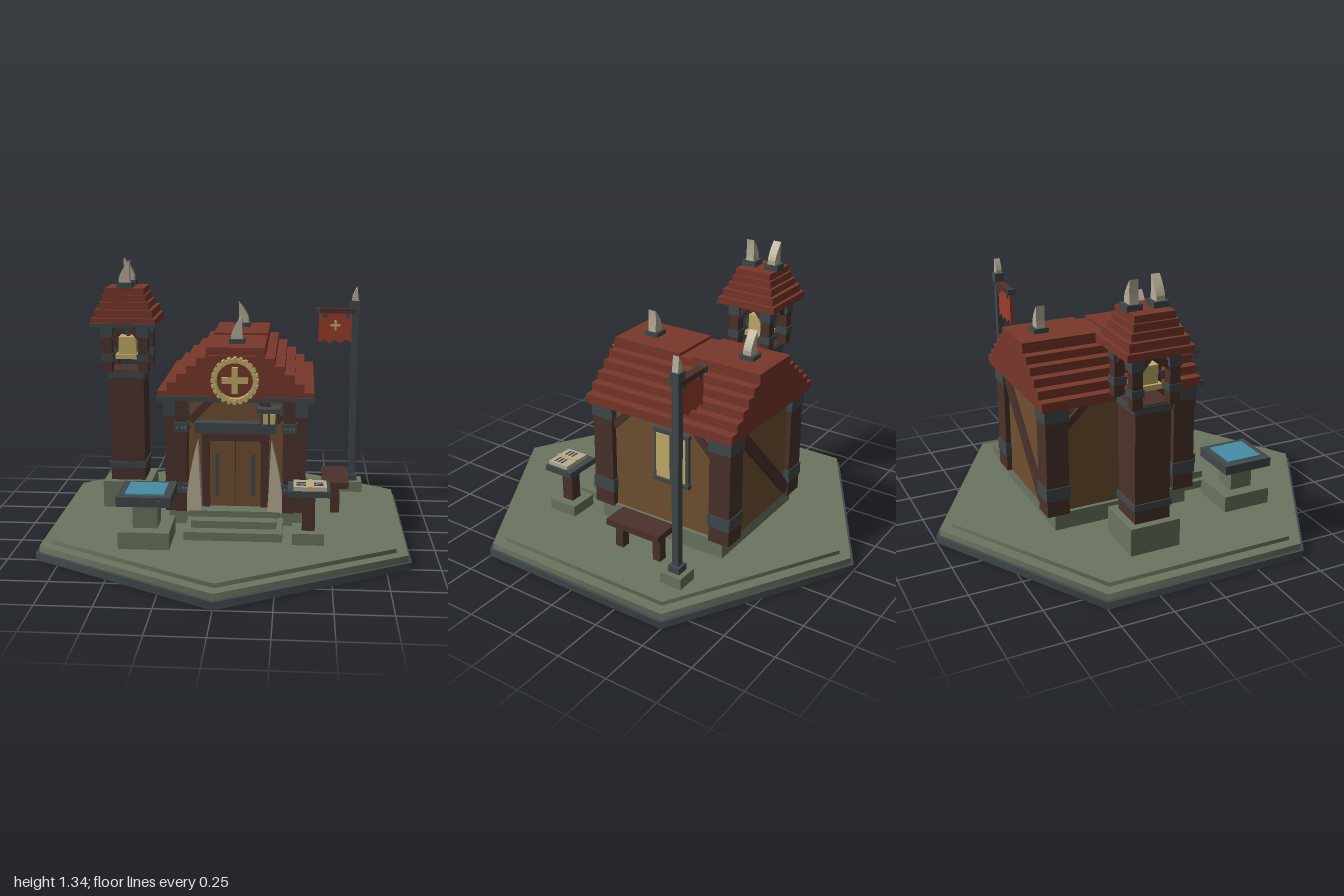
import * as THREE from 'three';

const material = (name, color) => {
  const m = new THREE.MeshStandardMaterial({ color });
  m.name = name;
  return m;
};

export function createModel() {
  const model = new THREE.Group();
  model.name = 'timberHall';
  const iron = material('dark iron', 0x40494b);
  const stone = material('mossy stone', 0x6b7560);
  const red = material('red roof', 0x78372b);
  const timber = material('dark timber', 0x4b322b);
  const wood = material('wall wood', 0x705031);
  const gold = material('gold', 0xc4ae6c);
  const bone = material('bone', 0xb8ae98);
  const water = material('water blue', 0x488da6);
  const cloth = material('banner red', 0x9a3d2a);

  const put = (name, geo, mat, parent = model) => {
    const m = new THREE.Mesh(geo, mat);
    m.name = name;
    parent.add(m);
    return m;
  };
  // Box from its extents on each axis
  const box = (name, mat, [x0, x1], [y0, y1], [z0, z1], parent = model) => {
    const m = put(name, new THREE.BoxGeometry(x1 - x0, y1 - y0, z1 - z0), mat, parent);
    m.position.set((x0 + x1) / 2, (y0 + y1) / 2, (z0 + z1) / 2);
    return m;
  };
  const around = (c, h) => [c - h, c + h];
  const group = (name, x = 0, y = 0, z = 0) => {
    const g = new THREE.Group();
    g.name = name;
    g.position.set(x, y, z);
    model.add(g);
    return g;
  };
  // Beam between two points in the XY plane (or ZY when alongZ), centred at depth
  const beam = (name, a, b, width, thick, depth, alongZ = false) => {
    const dx = b[0] - a[0], dy = b[1] - a[1];
    const m = put(name, new THREE.BoxGeometry(Math.hypot(dx, dy), width, thick), timber);
    const cx = (a[0] + b[0]) / 2, cy = (a[1] + b[1]) / 2;
    m.rotation.order = 'YXZ';
    m.rotation.set(0, alongZ ? -Math.PI / 2 : 0, Math.atan2(dy, dx));
    m.position.set(alongZ ? depth : cx, cy, alongZ ? cx : depth);
  };
  // Flat tusk curving sideways to a tip
  const tusk = (x, y, z, w, h, d, tip) => {
    const s = new THREE.Shape();
    s.moveTo(-w / 2, 0);
    s.lineTo(w / 2, 0);
    s.quadraticCurveTo(w * 0.35, h * 0.5, tip, h);
    s.quadraticCurveTo(-w * 0.3, h * 0.6, -w / 2, h * 0.25);
    s.closePath();
    const geo = new THREE.ExtrudeGeometry(s, { depth: d, bevelEnabled: false, curveSegments: 5 });
    geo.translate(0, 0, -d / 2);
    if (tip < 0) geo.rotateY(Math.PI).translate(0, 0, 0);
    put('tusk', geo, bone).position.set(x, y, z);
  };
  const roofTusk = (x, y, z, dir) => {
    box('tuskSocket', iron, around(x, 0.037), [y - 0.01, y + 0.022], around(z, 0.037));
    tusk(x, y + 0.015, z, 0.056, 0.115, 0.042, 0.025);
    if (dir < 0) model.children[model.children.length - 1].rotation.y = Math.PI;
  };
  const goldCross = (x, y, z, r, w, parent) => {
    box('crossUpright', gold, around(x, w), around(y, r), around(z, 0.008), parent);
    box('crossArm', gold, around(x, r), around(y, w), around(z, 0.0075), parent);
  };

  // Hexagonal ground
  for (const [r, y0, y1, mat] of [[1, 0, 0.035, iron], [0.982, 0.035, 0.065, stone], [0.922, 0.065, 0.085, stone]]) {
    put('groundTier', new THREE.CylinderGeometry(r, r, y1 - y0, 6).toNonIndexed(), mat).position.y = (y0 + y1) / 2;
  }

  // Hall body and steps
  const cx = 0.045;
  box('foundation', stone, [-0.28, 0.37], [0.08, 0.17], [-0.5, 0.19]);
  box('hallWalls', wood, [-0.26, 0.35], [0.165, 0.72], [-0.515, 0.2]);
  [[0.23, 0.08, 0.125, 0.42], [0.2, 0.125, 0.16, 0.36], [0.215, 0.16, 0.19, 0.3]].forEach(([h, y0, y1, z]) =>
    box('step', stone, around(cx, h), [y0, y1], [0.17, z]));

  // Corner posts with iron bands
  for (const x of [-0.235, 0.325]) for (const z of [0.172, -0.485]) {
    box('cornerPost', timber, around(x, 0.055), [0.165, 0.715], around(z, 0.055));
    box('postBand', iron, around(x, 0.06), [0.245, 0.31], around(z, 0.06));
    box('postBand', iron, around(x, 0.06), [0.635, 0.71], around(z, 0.06));
  }
  // Porch posts with bolted bands
  for (const s of [-1, 1]) {
    const x = cx + s * 0.255;
    box('porchPost', timber, around(x, 0.028), [0.17, 0.715], [0.19, 0.255]);
    for (const y of [0.29, 0.588]) {
      box('porchBand', iron, around(x, 0.035), around(y, 0.023), [0.19, 0.265]);
      for (const b of [-0.018, 0.006, 0.022]) box('bolt', stone, around(x + b, 0.004), around(y, 0.004), [0.264, 0.27]);
    }
    beam('frontBrace', [cx + s * 0.215, 0.61], [cx + s * 0.12, 0.71], 0.035, 0.03, 0.212);
    tusk(cx + s * 0.19, 0.185, 0.272, 0.07, 0.35, 0.055, 0.018);
    if (s > 0) model.children[model.children.length - 1].rotation.y = Math.PI;
  }
  for (const x of [-0.262, 0.352]) {
    beam('sideBrace', [0.12, 0.6], [0.0, 0.72], 0.035, 0.025, x, true);
    beam('sideBrace', [-0.43, 0.6], [-0.31, 0.72], 0.035, 0.025, x, true);
  }
  beam('rearBrace', [0.27, 0.69], [-0.18, 0.21], 0.055, 0.03, -0.52);

  // Door
  for (const s of [-1, 1]) {
    box('doorLeaf', wood, around(cx + s * 0.0615, 0.06), [0.19, 0.52], [0.19, 0.22]);
    box('doorHandle', iron, around(cx + s * 0.086, 0.008), [0.245, 0.455], [0.215, 0.232]);
    box('doorJamb', timber, around(cx + s * 0.14, 0.018), [0.19, 0.56], [0.19, 0.235]);
  }
  box('doorGap', timber, around(cx, 0.003), [0.19, 0.52], [0.19, 0.215]);
  box('doorHead', timber, around(cx, 0.16), [0.518, 0.56], [0.19, 0.24]);
  box('doorLintel', iron, around(cx, 0.19), [0.56, 0.61], [0.19, 0.262]);

  // Lantern beside the door
  box('lanternBody', iron, [0.165, 0.245], [0.6, 0.67], [0.2, 0.268]);
  box('lanternCap', iron, [0.15, 0.26], [0.665, 0.685], [0.2, 0.28]);
  for (const x of [0.188, 0.222]) box('lanternPane', gold, around(x, 0.012), [0.61, 0.66], [0.266, 0.272]);
  box('lanternStrap', timber, [0.16, 0.183], [0.51, 0.6], [0.2, 0.255]);

  // Side window
  box('windowFrame', iron, [0.34, 0.368], [0.395, 0.66], [-0.31, -0.12]);
  box('windowSill', iron, [0.34, 0.376], [0.39, 0.41], [-0.315, -0.115]);
  box('windowHead', iron, [0.34, 0.376], [0.645, 0.665], [-0.315, -0.115]);
  for (const z of [-0.17, -0.257]) box('windowPane', gold, [0.36, 0.373], [0.415, 0.64], around(z, 0.037));

  // Stepped hall roof
  [0.71, 0.755, 0.797, 0.838, 0.878, 0.916].forEach((y, i, ys) =>
    box('roofTier', red, around(cx, 0.37 - i * 0.0464), [y, ys[i + 1] ?? 0.952], [-0.565, 0.24]));
  box('ridgeCap', red, around(cx, 0.137), [0.95, 0.966], [-0.565, -0.2]);
  box('ridgeCap', red, around(cx, 0.137), [0.95, 0.966], [-0.135, 0.24]);
  box('eaveTrim', iron, around(cx, 0.372), [0.708, 0.733], [0.23, 0.25]);
  box('gablePanel', red, around(cx, 0.127), [0.73, 0.93], [0.23, 0.258]);
  roofTusk(cx, 0.966, 0.1, 1);
  roofTusk(cx, 0.966, -0.43, -1);

  // Round gable emblem
  const emblem = group('gableEmblem', cx, 0.818, 0.257);
  const ring = new THREE.Shape().absarc(0, 0, 0.104, 0, Math.PI * 2);
  ring.holes.push(new THREE.Path().absarc(0, 0, 0.085, 0, Math.PI * 2, true));
  put('emblemRing', new THREE.ExtrudeGeometry(ring, { depth: 0.035, bevelEnabled: false, curveSegments: 12 }), gold, emblem);
  for (let i = 0; i < 24; i++) {
    const a = (i / 24) * Math.PI * 2;
    const m = put('ringStud', new THREE.BoxGeometry(0.022, 0.016, 0.04), gold, emblem);
    m.position.set(Math.cos(a) * 0.1, Math.sin(a) * 0.1, 0.02);
    m.rotation.z = a;
  }
  goldCross(0, 0, 0.018, 0.062, 0.014, emblem);

  // Bell tower
  const tx = -0.523, tz = -0.16;
  const slab = (name, mat, h, y0, y1) => box(name, mat, around(tx, h), [y0, y1], around(tz, h));
  slab('towerBase', stone, 0.123, 0.08, 0.22);
  slab('towerShaft', timber, 0.087, 0.22, 0.79);
  slab('towerBand', iron, 0.093, 0.285, 0.317);
  slab('towerBand', iron, 0.093, 0.752, 0.785);
  for (const sx of [-1, 1]) for (const sz of [-1, 1]) {
    const x = tx + sx * 0.09, z = tz + sz * 0.09;
    box('belfryPost', timber, around(x, 0.025), [0.785, 1.025], around(z, 0.025));
    box('belfryBand', iron, around(x, 0.03), [0.842, 0.878], around(z, 0.03));
    box('belfryBand', iron, around(x, 0.03), [0.96, 1.015], around(z, 0.03));
    beam('belfryBrace', [tx + sx * 0.075, 0.95], [tx + sx * 0.02, 1.015], 0.025, 0.025, z);
    beam('belfryBrace', [tz + sz * 0.075, 0.95], [tz + sz * 0.02, 1.015], 0.025, 0.025, x, true);
  }
  slab('bellHanger', iron, 0.009, 0.94, 1.03);
  slab('bell', gold, 0.044, 0.86, 0.952);
  slab('bellRim', gold, 0.058, 0.842, 0.866);
  [[0.16, 1.025, 1.06], [0.143, 1.06, 1.1], [0.123, 1.1, 1.135], [0.108, 1.135, 1.17], [0.097, 1.17, 1.203]].forEach(([h, y0, y1]) =>
    slab('towerRoofTier', red, h, y0, y1));
  box('towerEaveTrim', iron, around(tx, 0.162), [1.02, 1.036], [-0.01, 0.008]);
  roofTusk(tx, 1.208, -0.1, 1);
  roofTusk(tx, 1.208, -0.225, -1);

  // Water basin
  box('basinFoot', stone, [-0.47, -0.235], [0.08, 0.165], [0.31, 0.555]);
  box('basinPedestal', stone, [-0.41, -0.295], [0.165, 0.29], [0.375, 0.49]);
  box('basinTray', iron, [-0.475, -0.225], [0.287, 0.332], [0.305, 0.555]);
  box('basinWater', water, [-0.44, -0.26], [0.33, 0.339], [0.34, 0.52]);
  for (const x of [-0.42, -0.35, -0.28]) box('basinStud', iron, around(x, 0.008), [0.3, 0.318], [0.55, 0.565]);

  // Lectern with an open book
  box('lecternFoot', stone, [0.32, 0.468], [0.08, 0.14], [0.3, 0.45]);
  box('lecternPost', timber, [0.365, 0.425], [0.14, 0.32], [0.345, 0.405]);
  box('lecternTop', iron, [0.298, 0.493], [0.315, 0.343], [0.292, 0.45]);
  for (const s of [-1, 1]) {
    const x = 0.4 + s * 0.04;
    box('bookPage', bone, around(x, 0.036), [0.343, 0.362], [0.328, 0.442]);
    for (const z of [0.375, 0.395, 0.415]) box('pageLine', iron, around(x, 0.022), [0.36, 0.364], around(z, 0.004));
  }
  box('bookRibbon', gold, around(0.4, 0.008), [0.343, 0.366], [0.328, 0.445]);

  // Bench
  box('benchSeat', timber, [0.465, 0.597], [0.215, 0.247], [-0.298, -0.005]);
  for (const z of [-0.045, -0.258]) box('benchLeg', timber, [0.508, 0.553], [0.08, 0.22], around(z, 0.021));

  // Banner pole
  const px = 0.628, pz = -0.425;
  box('poleFoot', stone, around(px, 0.055), [0.08, 0.14], around(pz, 0.055));
  box('poleCollar', iron, around(px, 0.03), [0.14, 0.172], around(pz, 0.03));
  box('pole', iron, around(px, 0.017), [0.17, 1.08], around(pz, 0.017));
  box('poleCap', iron, around(px, 0.024), [1.065, 1.108], around(pz, 0.024));
  tusk(px, 1.105, pz, 0.034, 0.075, 0.03, 0.008);
  box('bannerArm', timber, [0.43, 0.65], [1.042, 1.066], around(pz, 0.019));
  for (const x of [0.435, 0.645]) box('armCap', iron, around(x, 0.008), [1.04, 1.069], around(pz, 0.021));
  for (const x of [0.473, 0.592]) box('bannerClip', iron, around(x, 0.012), [1.015, 1.05], around(pz, 0.014));
  const flag = new THREE.Shape([[0.44, 1.043], [0.44, 0.885], [0.468, 0.903], [0.496, 0.88], [0.525, 0.9], [0.554, 0.88],
    [0.582, 0.903], [0.612, 0.885], [0.612, 1.043]].map(p => new THREE.Vector2(...p)));
  put('banner', new THREE.ExtrudeGeometry(flag, { depth: 0.014, bevelEnabled: false }), cloth).position.z = pz - 0.007;
  goldCross(0.527, 0.978, pz + 0.004, 0.026, 0.006);

  return model;
}
